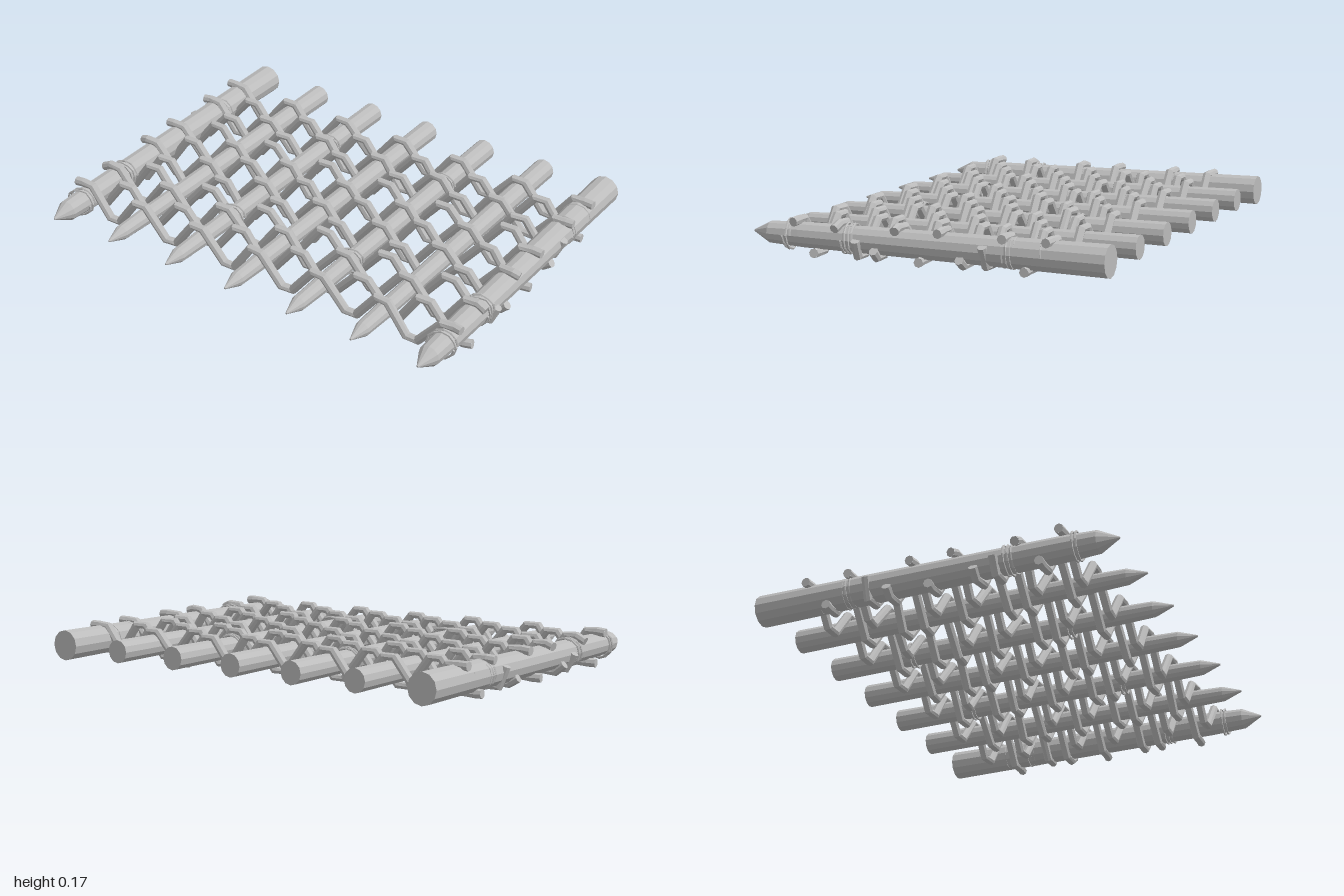
import * as THREE from 'three';

const MID = 0.093; // height of the stake axes
const GAP = 0.3085; // distance between stakes
const AMP = 0.062; // height of a weaver's bends above and below the axes
const CREST = 0.027; // half width of a flat bend
const END = 0.987; // half length of a weaver

// Weaver rows: z, over (1) or under (-1) the stakes, and height of the ends from the axes
const ROWS = [
  [-0.547, 1, 0.06], [-0.452, -1, -0.06], [-0.36, 1, 0.06], [-0.275, -1, 0.025], [-0.182, -1, -0.035],
  [-0.084, 1, 0.06], [0, -1, -0.06], [0.103, 1, 0.055], [0.197, -1, -0.03], [0.28, -1, 0.005],
  [0.372, 1, 0.045], [0.472, -1, -0.06], [0.56, 1, 0.06],
];

let seed = 7;
function jitter(amount) {
  seed = (seed * 16807) % 2147483647;
  return (seed / 2147483647 - 0.5) * 2 * amount;
}

// Straight pieces between points, with one ring of the tube at each point
class Polyline extends THREE.Curve {
  constructor(points) {
    super();
    this.points = points;
  }
  getPoint(t, target = new THREE.Vector3()) {
    const last = this.points.length - 1;
    const i = Math.min(Math.floor(t * last), last - 1);
    return target.lerpVectors(this.points[i], this.points[i + 1], t * last - i);
  }
  getUtoTmapping(u) {
    return u;
  }
}

// Round rod along a list of points, closed with flat discs
function rod(points, radius, sides, material, name) {
  const group = new THREE.Group();
  group.name = name;
  const curve = new Polyline(points);
  const body = new THREE.Mesh(new THREE.TubeGeometry(curve, points.length - 1, radius, sides), material);
  body.name = name + 'Body';
  group.add(body);
  for (const t of [0, 1]) {
    const out = curve.getTangent(t).multiplyScalar(t ? 1 : -1);
    const cap = new THREE.Mesh(new THREE.CircleGeometry(radius, sides), material);
    cap.name = name + 'End';
    cap.position.copy(curve.getPoint(t));
    cap.quaternion.setFromUnitVectors(new THREE.Vector3(0, 0, 1), out);
    group.add(cap);
  }
  return group;
}

// Tapered stake with a sharpened front end
function stake(x, back, front, material) {
  const profile = [[0, -0.783], [back, -0.783], [front, 0.55], [front * 0.87, 0.7], [0.004, 0.783], [0, 0.783]]
    .map(([r, z]) => new THREE.Vector2(r, z));
  const mesh = new THREE.Mesh(new THREE.LatheGeometry(profile, 12), material);
  mesh.rotation.x = Math.PI / 2;
  mesh.position.set(x, MID, 0);
  return mesh;
}

// Branch that crosses every stake on one side and dips to the other side in every gap
function weaver(z, start, endHeight, material) {
  const points = [];
  const bend = (x, y) => points.push(new THREE.Vector3(x, MID + y, z + jitter(0.004)));
  bend(-END, endHeight);
  for (let k = -6; k <= 6; k++) {
    const x = k * GAP / 2 + jitter(0.008);
    const y = start * (k % 2 ? -1 : 1) * (AMP + jitter(0.003));
    bend(x - CREST, y);
    bend(x + CREST, y);
  }
  bend(END, endHeight);
  return rod(points, 0.0195, 8, material, 'weaver');
}

// Thin twine coiled round a stake
function lashing(x, z, radius, turns, material) {
  const points = [];
  const steps = turns * 12;
  for (let i = 0; i <= steps; i++) {
    const a = (i / 12) * Math.PI * 2;
    const r = radius + jitter(0.003);
    points.push(new THREE.Vector3(
      x + Math.cos(a) * r,
      MID + Math.sin(a) * r,
      z + (i / steps - 0.5) * 0.017 * turns - Math.cos(a) * 0.008));
  }
  return rod(points, 0.005, 5, material, 'lashing');
}

export function createModel() {
  const model = new THREE.Group();
  model.name = 'wovenFence';
  const wood = new THREE.MeshStandardMaterial({ color: 0xbcbcbc, flatShading: true });
  wood.name = 'grey wood';

  // Thick outer stakes and slimmer inner ones
  for (let k = -3; k <= 3; k++) {
    const outer = Math.abs(k) === 3;
    const mesh = stake(k * GAP, outer ? 0.066 : 0.05, outer ? 0.053 : 0.038, wood);
    mesh.name = outer ? 'outerStake' : 'innerStake';
    model.add(mesh);
  }

  for (const [z, start, endHeight] of ROWS) model.add(weaver(z, start, endHeight, wood));

  // Twine on the outer stakes and on two of the inner ones
  for (const side of [-1, 1]) {
    for (const [z, turns] of [[-0.505, 1], [-0.375, 3], [0.33, 3], [0.607, 2]]) {
      model.add(lashing(side * 3 * GAP, z, 0.06, turns, wood));
    }
    for (const [z, turns] of [[-0.4, 2], [0.33, 2]]) {
      model.add(lashing(side * GAP, z, 0.055, turns, wood));
    }
  }
  return model;
}
